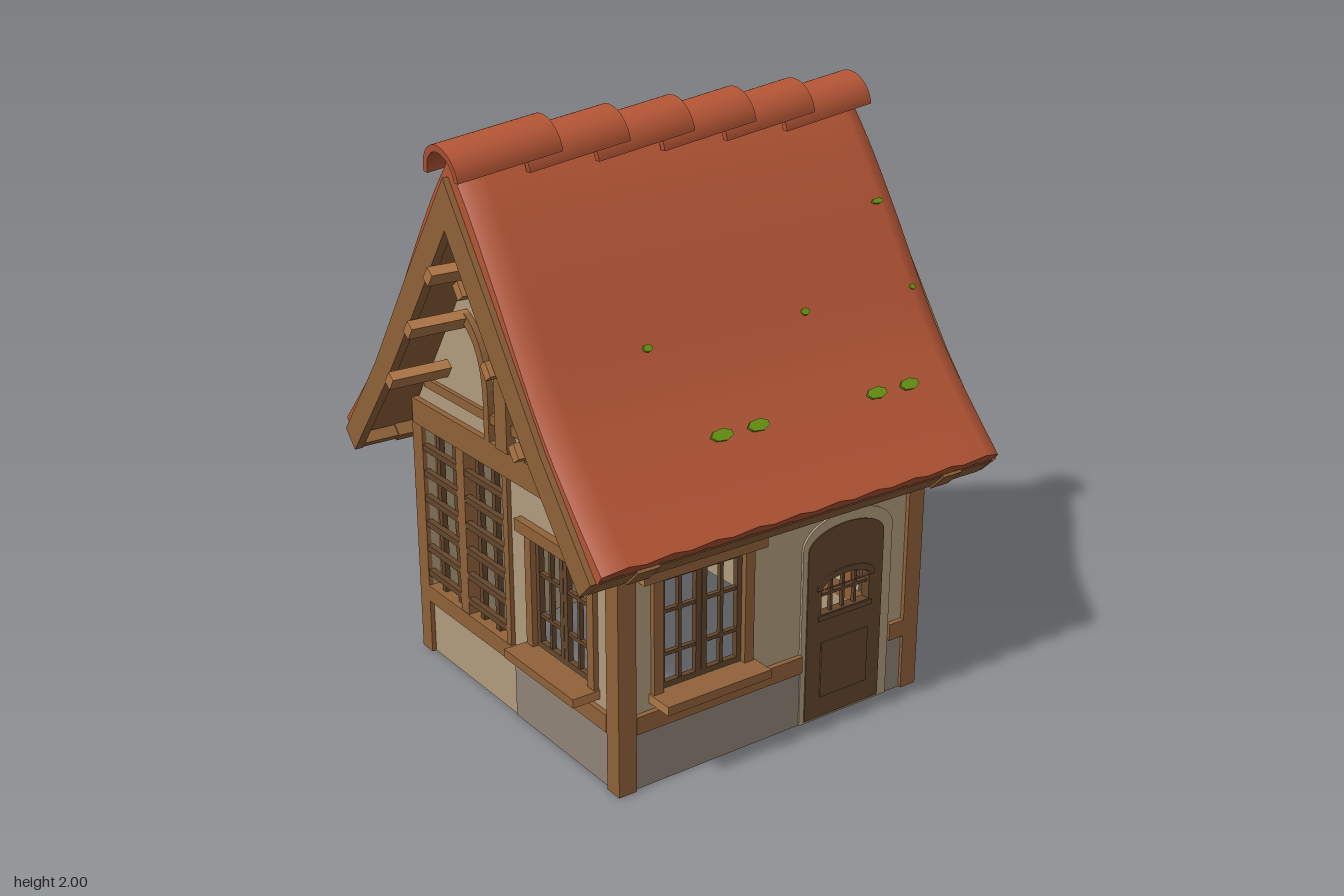
import * as THREE from 'three';
import { toCreasedNormals } from 'three/addons/utils/BufferGeometryUtils.js';

const mat = (name, color, extra = {}) => {
  const m = new THREE.MeshStandardMaterial({ color, ...extra });
  m.name = name;
  return m;
};

export function createModel() {
  const tile = mat('roof tile', 0xb35535, { side: THREE.DoubleSide });
  const plaster = mat('plaster', 0xb19c7c);
  const stone = mat('grey plinth', 0x8f8476);
  const wood = mat('timber', 0x906239);
  const dark = mat('dark timber', 0x64462c);
  const light = mat('light timber', 0xb07846);
  const moss = mat('moss', 0x6a9812);

  const house = new THREE.Group();
  house.name = 'house';

  const add = (parent, name, geo, material) => {
    const m = new THREE.Mesh(geo, material);
    m.name = name;
    parent.add(m);
    return m;
  };
  // box given by its extents
  const box = (parent, name, material, x0, x1, y0, y1, z0, z1) => {
    const m = add(parent, name, new THREE.BoxGeometry(x1 - x0, y1 - y0, z1 - z0), material);
    m.position.set((x0 + x1) / 2, (y0 + y1) / 2, (z0 + z1) / 2);
    return m;
  };
  const slab = (parent, name, material, shape, z0, z1) => {
    const m = add(parent, name, new THREE.ExtrudeGeometry(shape, { depth: z1 - z0, bevelEnabled: false, curveSegments: 10 }), material);
    m.position.z = z0;
    return m;
  };
  const poly = (pts, C = THREE.Shape) => new C(pts.map(p => new THREE.Vector2(p[0], p[1])));
  const rect = (x0, x1, y0, y1) => poly([[x0, y0], [x1, y0], [x1, y1], [x0, y1]], THREE.Path);
  // doorway outline: straight jambs with a low arch
  const arch = (C, cx, hw, y0, spring, top) => {
    const s = new C();
    s.moveTo(cx - hw, y0);
    s.lineTo(cx + hw, y0);
    s.lineTo(cx + hw, spring);
    s.absellipse(cx, spring, hw, top - spring, 0, Math.PI, false);
    s.lineTo(cx - hw, y0);
    return s;
  };

  // each wall is built facing +z and then turned into place
  const wallGroup = (name, angle) => {
    const g = new THREE.Group();
    g.name = name;
    g.rotation.y = angle;
    house.add(g);
    return g;
  };

  const addWindow = (parent, cx) => {
    const g = new THREE.Group();
    g.name = 'window';
    g.position.x = cx;
    parent.add(g);
    const ends = [light, light, wood, wood, wood, wood];
    box(g, 'windowHead', ends, -0.235, 0.235, 0.7, 0.742, 0.59, 0.628);
    box(g, 'windowSill', ends, -0.2, 0.2, 0.285, 0.315, 0.59, 0.7);
    for (const s of [-1, 1]) {
      box(g, 'windowJamb', wood, s * 0.175 - 0.018, s * 0.175 + 0.018, 0.315, 0.7, 0.57, 0.618);
      // casement with a cross of glazing bars
      for (const x of [0.011, 0.149]) box(g, 'casementStile', dark, s * x - 0.01, s * x + 0.01, 0.315, 0.7, 0.578, 0.598);
      box(g, 'glazingBar', dark, s * 0.08 - 0.006, s * 0.08 + 0.006, 0.315, 0.7, 0.58, 0.596);
    }
    for (const y of [0.325, 0.69]) box(g, 'casementRail', dark, -0.157, 0.157, y - 0.01, y + 0.01, 0.578, 0.598);
    for (const y of [0.43, 0.575]) box(g, 'glazingBar', dark, -0.157, 0.157, y - 0.006, y + 0.006, 0.58, 0.596);
  };

  // gable walls, the back one being the front turned half round
  for (const [name, angle] of [['frontWall', 0], ['backWall', Math.PI]]) {
    const g = wallGroup(name, angle);
    const s = poly([[-0.59, 0], [0.59, 0], [0.59, 0.95], [0.3, 1.37], [0, 1.79], [-0.3, 1.37], [-0.59, 0.95]]);
    s.holes.push(rect(-0.55, -0.03, 0.26, 0.86), rect(0.135, 0.45, 0.315, 0.7));
    slab(g, 'gableWall', plaster, s, 0.57, 0.6);
    box(g, 'plinthPanel', stone, 0, 0.55, 0, 0.2, 0.598, 0.604);
    box(g, 'sillBeam', wood, -0.55, 0.55, 0.2, 0.26, 0.57, 0.618);
    box(g, 'tieBeam', wood, -0.6, 0.6, 0.86, 0.95, 0.57, 0.622);
    box(g, 'collarBeam', wood, -0.52, 0.52, 1.01, 1.042, 0.59, 0.615);
    box(g, 'kingPost', wood, -0.035, 0.035, 0.95, 1.72, 0.59, 0.632);
    for (const m of [-1, 1]) {
      const b = new THREE.Shape();
      b.moveTo(m * 0.09, 0.95);
      b.lineTo(m * 0.09, 1.08);
      b.quadraticCurveTo(m * 0.09, 1.28, m * 0.22, 1.345);
      b.lineTo(m * 0.24, 1.315);
      b.quadraticCurveTo(m * 0.125, 1.26, m * 0.12, 1.08);
      b.lineTo(m * 0.12, 0.95);
      slab(g, 'curvedBrace', wood, b, 0.59, 0.622);
      box(g, 'cornerPost', wood, m * 0.5825 - 0.0325, m * 0.5825 + 0.0325, 0, 0.92, 0.55, 0.616);
    }
    // lattice in two bays
    box(g, 'latticePost', wood, -0.325, -0.275, 0.26, 0.86, 0.57, 0.615);
    box(g, 'latticePost', wood, -0.03, -0.002, 0.26, 0.86, 0.57, 0.615);
    for (const [x0, x1] of [[-0.555, -0.32], [-0.28, -0.025]]) {
      for (let i = 0; i < 6; i++) {
        const y = 0.31 + i * 0.094;
        box(g, 'latticeBar', dark, x0, x1, y - 0.011, y + 0.011, 0.592, 0.614);
      }
    }
    for (const x of [-0.48, -0.37, -0.22, -0.12]) box(g, 'latticeUpright', dark, x - 0.011, x + 0.011, 0.26, 0.86, 0.575, 0.595);
    addWindow(g, 0.2925);
  }

  // door side
  const right = wallGroup('doorWall', Math.PI / 2);
  const rs = poly([[-0.59, 0], [0.59, 0], [0.59, 0.95], [-0.59, 0.95]]);
  rs.holes.push(rect(-0.45, -0.135, 0.315, 0.7), arch(THREE.Path, 0.285, 0.16, 0.005, 0.62, 0.69));
  slab(right, 'sideWall', plaster, rs, 0.57, 0.6);
  for (const [x0, x1] of [[-0.55, 0.105], [0.485, 0.55]]) {
    box(right, 'plinthPanel', stone, x0, x1, 0, 0.2, 0.598, 0.604);
    box(right, 'sillBeam', wood, x0, x1, 0.2, 0.26, 0.58, 0.618);
  }
  addWindow(right, -0.2925);
  const trim = arch(THREE.Shape, 0.295, 0.19, 0, 0.63, 0.73);
  trim.holes.push(arch(THREE.Path, 0.285, 0.16, 0.005, 0.62, 0.69));
  slab(right, 'doorSurround', plaster, trim, 0.595, 0.608);
  const door = new THREE.Group();
  door.name = 'door';
  right.add(door);
  const leaf = arch(THREE.Shape, 0.285, 0.16, 0.01, 0.62, 0.69);
  leaf.holes.push(arch(THREE.Path, 0.285, 0.102, 0.385, 0.475, 0.51));
  slab(door, 'doorLeaf', dark, leaf, 0.578, 0.612);
  const hood = arch(THREE.Shape, 0.285, 0.122, 0.475, 0.485, 0.532);
  hood.holes.push(arch(THREE.Path, 0.285, 0.1, 0.476, 0.478, 0.512));
  slab(door, 'doorWindowHood', dark, hood, 0.61, 0.617);
  box(door, 'doorLedge', dark, 0.17, 0.4, 0.365, 0.383, 0.61, 0.617);
  box(door, 'doorPanel', dark, 0.185, 0.385, 0.085, 0.285, 0.61, 0.618);
  for (const x of [0.234, 0.285, 0.336]) box(door, 'doorGlazingBar', dark, x - 0.005, x + 0.005, 0.385, 0.508, 0.588, 0.602);
  box(door, 'doorGlazingBar', dark, 0.183, 0.387, 0.445, 0.455, 0.588, 0.602);

  // plain side with a mid post and low diagonal braces
  const left = wallGroup('bracedWall', -Math.PI / 2);
  box(left, 'sideWall', plaster, -0.59, 0.59, 0, 0.95, 0.57, 0.6);
  box(left, 'sillBeam', wood, -0.55, 0.55, 0.24, 0.285, 0.59, 0.618);
  box(left, 'midPost', wood, -0.025, 0.025, 0.285, 0.95, 0.59, 0.615);
  for (const c of [-0.275, 0.275]) for (const s of [-1, 1]) {
    const b = box(left, 'diagonalBrace', wood, -0.18, 0.18, -0.02, 0.02, -0.012, 0.012);
    b.position.set(c + s * 0.105, 0.125, 0.605 + s * 0.003);
    b.rotation.z = s * 0.66;
  }

  // roof boards, barge boards and eave timbers
  const top = [[0.75, 0.83], [0.5, 1.14], [0.25, 1.5], [0, 1.85]];
  const chevron = under => {
    const half = (pts, m) => pts.map(([x, y]) => [m * x, y]);
    return poly([...half(top, 1), ...half(top, -1).reverse().slice(1), ...half(under, -1), ...half(under, 1).reverse().slice(1)]);
  };
  slab(house, 'roofBoards', wood, chevron([[0.72, 0.8], [0.475, 1.105], [0.24, 1.45], [0, 1.78]]), -0.77, 0.77);
  for (const z of [-0.8, 0.77]) slab(house, 'bargeBoard', wood, chevron([[0.69, 0.77], [0.44, 1.08], [0.22, 1.38], [0, 1.69]]), z, z + 0.03);
  for (const m of [-1, 1]) {
    const eaveTimber = (name, w, h, z0, z1) => {
      const e = box(house, name, wood, -w, w, -h, h, z0, z1);
      e.position.x = m * 0.712;
      e.position.y = 0.808;
      e.rotation.z = m * 0.785;
    };
    eaveTimber('eaveBeam', 0.038, 0.014, -0.775, 0.775);
    for (const z of [-0.6, 0.6]) {
      eaveTimber('eaveBracket', 0.042, 0.02, z - 0.04, z + 0.04);
      // purlin ends carried past the barge boards
      for (const [x, y] of [[0.38, 1.112], [0.235, 1.322], [0.09, 1.53]]) {
        const p = box(house, 'purlin', light, -0.025, 0.025, -0.018, 0.018, -0.115, 0.115);
        p.position.set(m * x, y, Math.sign(z) * 0.7);
        p.rotation.z = -m * 0.95;
      }
    }
  }

  // flared, finely pleated tile slope lofted along z, with softened normals
  const spline = pts => new THREE.CatmullRomCurve3(pts.map(([x, y]) => new THREE.Vector3(x, y, 0)));
  const curve = spline([[0, 1.95], [0.12, 1.8], [0.25, 1.61], [0.5, 1.22], [0.66, 1.03], [0.8, 0.88]]);
  const under = spline([[0, 1.84], [0.25, 1.49], [0.5, 1.13], [0.755, 0.825]]);
  const N = 16, half = 0.78, zs = [];
  for (let i = 0; i <= 20; i++) zs.push(-half + i * half / 10);
  zs.push(-0.75, 0.75);
  zs.sort((a, b) => a - b);
  const loft = (rows, normals) => {
    const w = rows[0].length, idx = [];
    for (let r = 0; r < rows.length - 1; r++) for (let k = 0; k < w - 1; k++) {
      const a = r * w + k, c = a + w;
      idx.push(a, c, a + 1, a + 1, c, c + 1);
    }
    const g = new THREE.BufferGeometry().setFromPoints(rows.flat());
    g.setIndex(idx);
    if (!normals) return toCreasedNormals(g, 0.3);
    g.setAttribute('normal', new THREE.Float32BufferAttribute(normals, 3));
    return g;
  };
  const normals = [];
  const pleat = z => 0.032 * (1 - Math.abs((((z + half) / (half / 10) + 1) % 2) - 1));
  const outer = zs.map(z => Array.from({ length: N + 1 }, (_, k) => {
    const p = curve.getPoint(k / N), d = curve.getTangent(k / N);
    const edge = Math.max(0, 1 - (half - Math.abs(z)) / 0.08);
    const n = new THREE.Vector3(-d.y, d.x, Math.sign(z) * 0.6 * edge).normalize();
    normals.push(n.x, n.y, n.z);
    return new THREE.Vector3(Math.max(0, p.x + d.y * pleat(z)), p.y - d.x * pleat(z), z);
  }));
  const slopeGeo = loft(outer, normals);
  const eaveGeo = loft([outer.map(r => r[N]), outer.map(r => r[N].clone().add(new THREE.Vector3(-0.042, -0.042, 0)))]);
  const vergeGeos = [outer[0], outer[outer.length - 1]].map(r =>
    loft([r, r.map((p, k) => under.getPoint(k / N).setZ(p.z))]));

  // moss patches: z, distance from the ridge line, length, width
  const patches = [[0.22, 0.595, 0.085, 0.04], [0.08, 0.595, 0.085, 0.04], [-0.4, 0.595, 0.085, 0.04], [-0.54, 0.595, 0.08, 0.04],
    [0.36, 0.41, 0.035, 0.025], [-0.25, 0.41, 0.035, 0.025], [-0.71, 0.41, 0.025, 0.02], [-0.69, 0.25, 0.05, 0.02]];
  for (const s of [1, -1]) {
    const g = new THREE.Group();
    g.name = s > 0 ? 'leftRoof' : 'rightRoof';
    g.rotation.y = s > 0 ? 0 : Math.PI;
    house.add(g);
    add(g, 'tileSlope', slopeGeo, tile);
    add(g, 'tileEave', eaveGeo, tile);
    for (const v of vergeGeos) add(g, 'tileVerge', v, tile);
    for (const [z, x, len, width] of patches) {
      let t = 0;
      while (curve.getPoint(t).x < x) t += 0.005;
      const p = curve.getPoint(t), d = curve.getTangent(t);
      const m = add(g, 'mossPatch', new THREE.CylinderGeometry(0.5, 0.5, 0.008, 7), moss);
      m.scale.set(width, 1, len);
      m.position.set(p.x, p.y, s * z);
      m.rotation.z = Math.atan2(d.y, d.x);
    }
  }

  // overlapping ridge tiles, each tipped down towards the front
  const cap = new THREE.Shape();
  cap.absarc(0, 0, 0.1, 0, Math.PI, false);
  cap.absarc(0, 0, 0.078, Math.PI, 0, true);
  const capGeo = toCreasedNormals(new THREE.ExtrudeGeometry(cap, { depth: 0.365, bevelEnabled: false, curveSegments: 14 }), 0.6);
  for (let i = 0; i < 6; i++) {
    const m = add(house, 'ridgeTile', capGeo, tile);
    m.position.set(0, 1.9, 0.443 - i * 0.245);
    m.rotation.x = 0.137;
  }
  return house;
}
